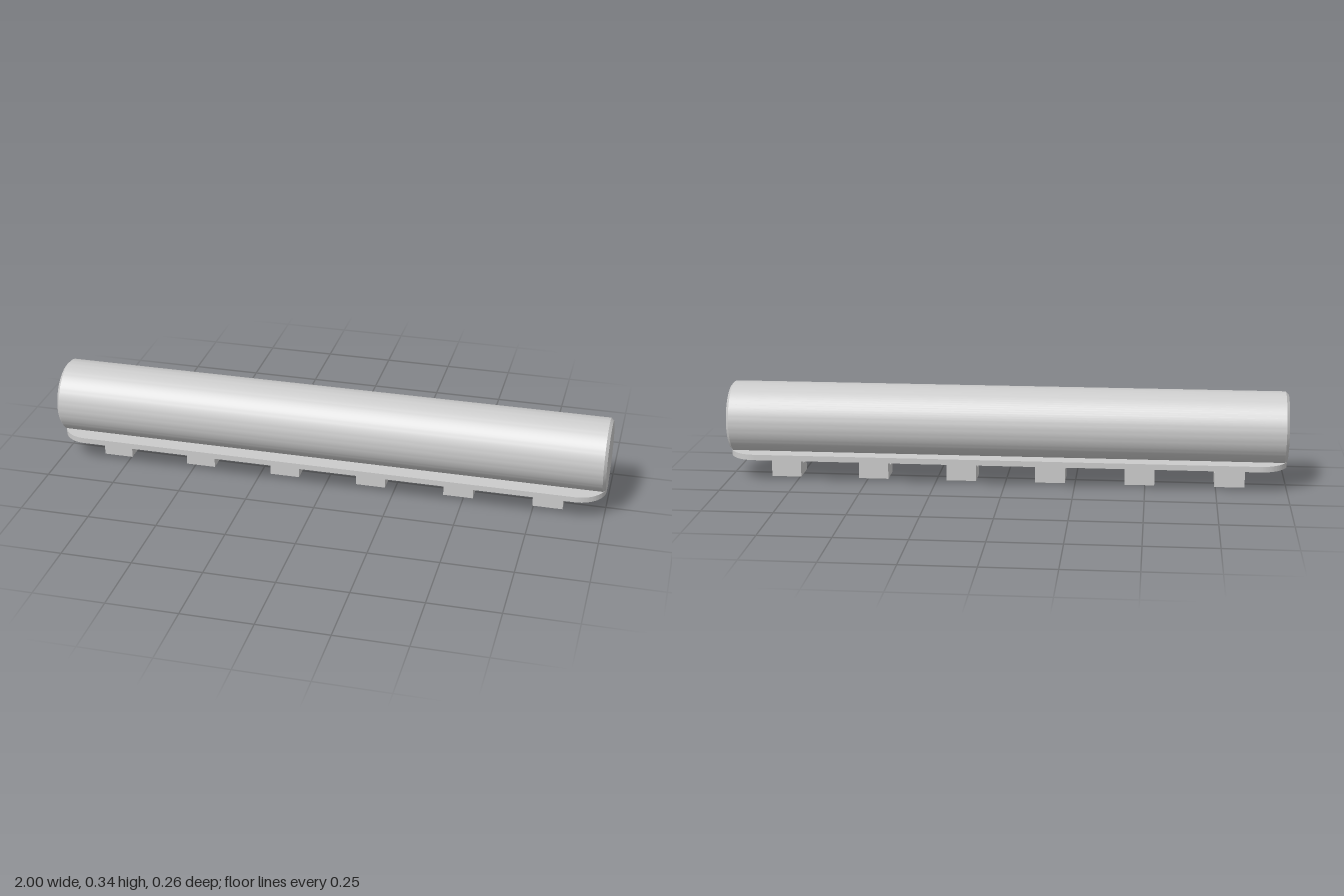
import * as THREE from 'three';
import { toCreasedNormals } from 'three/addons/utils/BufferGeometryUtils.js';

const material = new THREE.MeshStandardMaterial({ color: 0xcccccc });

function addMesh(parent, name, geometry) {
  const mesh = new THREE.Mesh(geometry, material);
  mesh.name = name;
  parent.add(mesh);
  return mesh;
}

// Hollow tube with chamfered rims, open at -x and closed at +x
function tubeGeometry() {
  const profile = [
    [0, 0.96], [0.09, 0.96], [0.09, -0.99], [0.1, -1], [0.12, -1],
    [0.13, -0.99], [0.13, 0.99], [0.12, 1], [0, 1],
  ].map(([r, y]) => new THREE.Vector2(r, y));
  const segments = 96;
  const geometry = new THREE.LatheGeometry(profile, segments, Math.PI / segments);
  geometry.rotateZ(-Math.PI / 2);
  return toCreasedNormals(geometry, 0.5);
}

// Flat plate with rounded corners, thickness along y
function plateGeometry(halfX, halfZ, radius, thickness) {
  const shape = new THREE.Shape();
  const cx = halfX - radius, cy = halfZ - radius;
  shape.absarc(cx, cy, radius, 0, Math.PI / 2);
  shape.absarc(-cx, cy, radius, Math.PI / 2, Math.PI);
  shape.absarc(-cx, -cy, radius, Math.PI, Math.PI * 1.5);
  shape.absarc(cx, -cy, radius, Math.PI * 1.5, Math.PI * 2);
  const geometry = new THREE.ExtrudeGeometry(shape, { depth: thickness, bevelEnabled: false, curveSegments: 16 });
  geometry.rotateX(-Math.PI / 2);
  return toCreasedNormals(geometry, 0.5);
}

// L-shaped hook: section drawn as (z, y), extruded along x
function hookGeometry(width) {
  const section = [[-0.05, 0], [0.05, 0], [0.05, 0.04], [-0.01, 0.04], [-0.01, 0.08], [-0.05, 0.08]];
  const shape = new THREE.Shape(section.map(([z, y]) => new THREE.Vector2(-z, y)));
  const geometry = new THREE.ExtrudeGeometry(shape, { depth: width, bevelEnabled: false });
  geometry.translate(0, 0, -width / 2);
  return geometry.rotateY(Math.PI / 2);
}

export function createModel() {
  const model = new THREE.Group();
  model.name = 'railMountedTube';

  addMesh(model, 'tube', tubeGeometry()).position.y = 0.21;
  addMesh(model, 'basePlate', plateGeometry(1, 0.13, 0.1, 0.02)).position.y = 0.08;

  // Row of six mounting hooks under the plate
  const hooks = new THREE.Group();
  hooks.name = 'mountingHooks';
  const hook = hookGeometry(0.107);
  for (let i = 0; i < 6; i++) {
    addMesh(hooks, `hook${i + 1}`, hook).position.x = -0.8 + i * 0.32;
  }
  model.add(hooks);

  return model;
}
